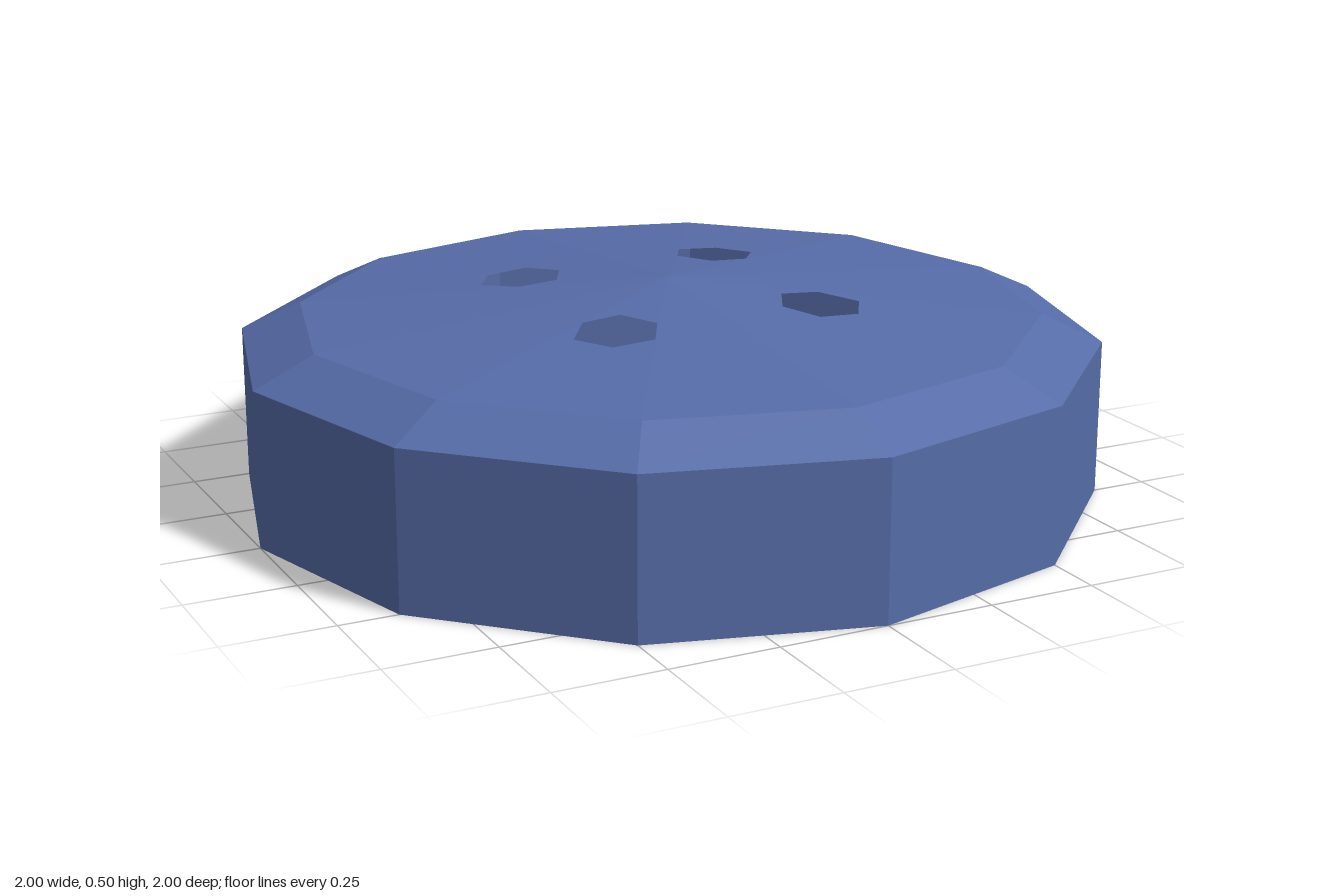
import * as THREE from 'three';

const SIDES = 12, STEP = Math.PI / 6;
const RIM = 0.86, RIM_Y = 0.425, EDGE_Y = 0.36, APEX_Y = 0.5;

// Height of the twelve-sided shallow cone at a point
function roofHeight(x, z) {
  let reach = 0;
  for (let i = 0; i < SIDES; i++) {
    const a = (i + 0.5) * STEP;
    reach = Math.max(reach, x * Math.cos(a) + z * Math.sin(a));
  }
  return APEX_Y - (APEX_Y - RIM_Y) * reach / (RIM * Math.cos(STEP / 2));
}

export function createModel() {
  const group = new THREE.Group();
  const blue = new THREE.MeshStandardMaterial({ color: 0x566ca8, flatShading: true, side: THREE.DoubleSide });
  blue.name = 'denim blue';

  const add = (name, geometry, y = 0, parent = group) => {
    const mesh = new THREE.Mesh(geometry, blue);
    mesh.name = name;
    mesh.position.y = y;
    parent.add(mesh);
  };

  // Hollow body: side wall, bevelled rim and base
  add('sideWall', new THREE.CylinderGeometry(1, 1, EDGE_Y, SIDES, 1, true), EDGE_Y / 2);
  add('bevel', new THREE.CylinderGeometry(RIM, 1, RIM_Y - EDGE_Y, SIDES, 1, true), (RIM_Y + EDGE_Y) / 2);
  add('base', new THREE.CircleGeometry(1, SIDES).rotateX(Math.PI / 2));

  // Domed top in wedges, the diagonal wedge of each quarter pierced by a thread hole
  const hole = [[0.358, 0.26], [0.305, 0.346], [0.205, 0.35], [0.157, 0.262], [0.204, 0.172], [0.298, 0.175]];
  const top = new THREE.Group();
  top.name = 'top';
  group.add(top);
  for (const sx of [1, -1]) for (const sz of [1, -1]) for (let i = 0; i < 3; i++) {
    const at = (x, y) => new THREE.Vector2(sx * x, sz * y);
    const corner = k => at(RIM * Math.cos(k * STEP), RIM * Math.sin(k * STEP));
    const wedge = new THREE.Shape([at(0, 0), corner(i), corner(i + 1)]);
    if (i === 1) wedge.holes.push(new THREE.Path(hole.map(p => at(...p))));
    const g = new THREE.ShapeGeometry(wedge).rotateX(-Math.PI / 2);
    const p = g.attributes.position;
    for (let v = 0; v < p.count; v++) p.setY(v, roofHeight(p.getX(v), p.getZ(v)));
    g.computeVertexNormals();
    add(i === 1 ? 'holedWedge' : 'plainWedge', g, 0, top);
  }
  return group;
}
